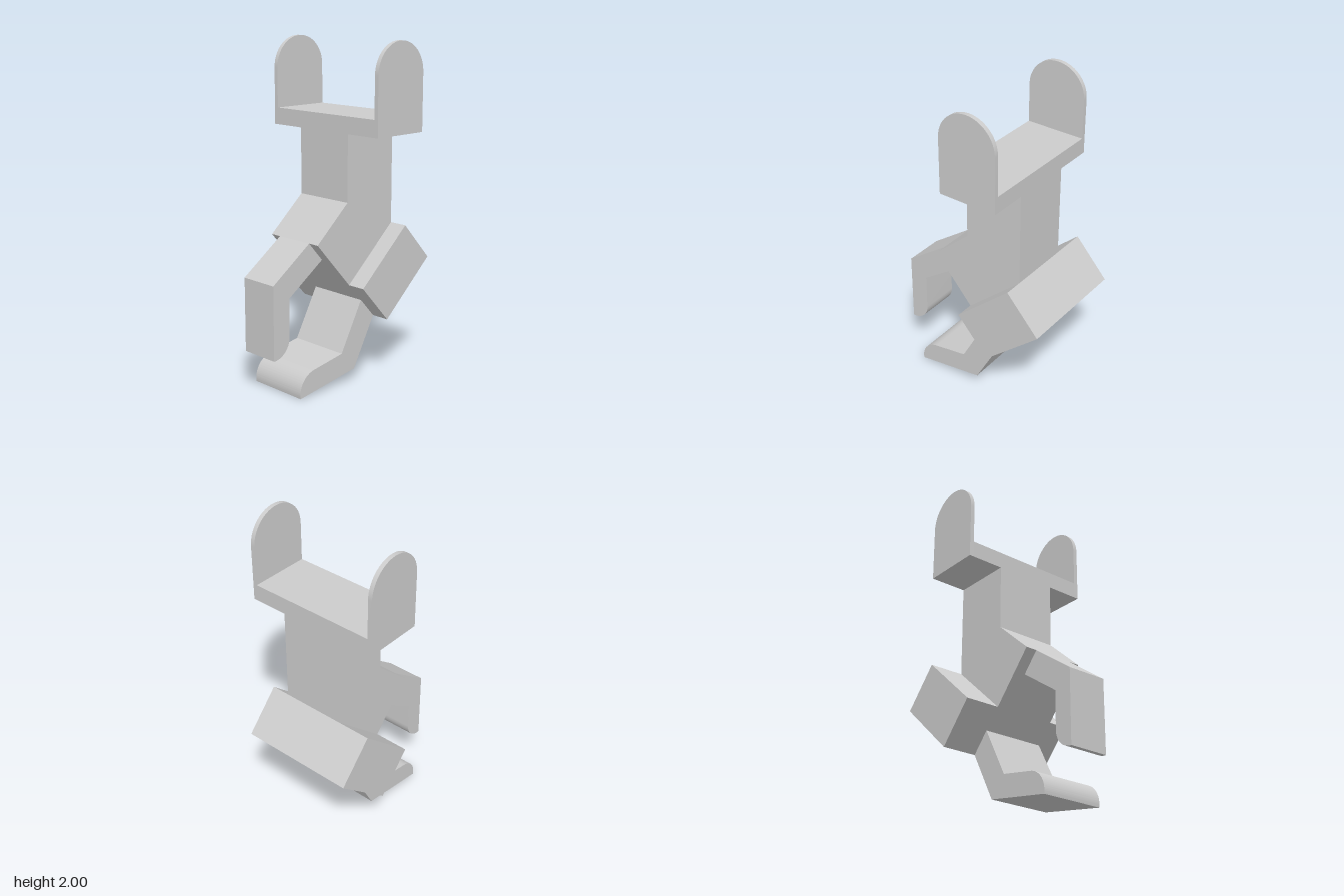
import * as THREE from 'three';
import { toCreasedNormals } from 'three/addons/utils/BufferGeometryUtils.js';

const material = new THREE.MeshStandardMaterial({ color: 0xcccccc });

// Outline from corner points, in the xy plane
function outline(points) {
  return new THREE.Shape(points.map(([x, y]) => new THREE.Vector2(x, y)));
}

// Extrude an outline between two z positions
function slab(name, shape, z0, z1) {
  const geometry = new THREE.ExtrudeGeometry(shape, { depth: z1 - z0, bevelEnabled: false, curveSegments: 24 });
  geometry.translate(0, 0, z0);
  const mesh = new THREE.Mesh(toCreasedNormals(geometry, 0.5), material);
  mesh.name = name;
  return mesh;
}

export function createModel() {
  const model = new THREE.Group();
  model.name = 'gripperArm';
  const left = -0.035, right = 0.333, radius = (right - left) / 2, mid = (left + right) / 2;
  const armBase = 1.478, halfArm = 0.193, forkInner = 0.397, forkOuter = 0.423;

  // Upright arm with its angled wrist
  model.add(slab('arm', outline([
    [left, armBase], [left, 1.085], [-0.27, 0.875], [-0.02, 0.595], [right, 0.913], [right, armBase],
  ]), -halfArm, halfArm));

  // Fork: crossbar and two round-topped plates
  model.add(slab('forkCrossbar', outline([
    [left, armBase], [right, armBase], [right, 1.578], [left, 1.578],
  ]), -forkInner, forkInner));
  const plate = outline([[left, armBase], [right, armBase], [right, 2 - radius]]);
  plate.absarc(mid, 2 - radius, radius, 0, Math.PI, false);
  model.add(slab('forkPlateFront', plate, forkInner, forkOuter));
  model.add(slab('forkPlateBack', plate, -forkOuter, -forkInner));

  // Motor block, offset towards the back
  model.add(slab('motorBlock', outline([
    [-0.02, 0.595], [0.185, 0.367], [0.54, 0.685], [right, 0.913],
  ]), -0.406, 0.307));

  // Narrow upper finger with a rounded tip
  const upper = outline([[-0.17, 0.762], [-0.27, 0.875], [-0.54, 0.68], [-0.54, 0.243]]);
  upper.absarc(-0.54, 0.36, 0.117, -Math.PI / 2, 0, false);
  upper.lineTo(-0.423, 0.585);
  model.add(slab('upperFinger', upper, -0.123, 0.123));

  // Wide lower finger with a rounded tip
  const tilt = 0.161;
  const lower = outline([[0.185, 0.367], [0.08, 0.484], [-0.078, 0.19]]);
  lower.absarc(-0.277, 0.023, 0.13, Math.PI / 2 + tilt, Math.PI + tilt, false);
  lower.lineTo(0.025, 0.072);
  model.add(slab('lowerFinger', lower, -halfArm, halfArm));

  return model;
}
